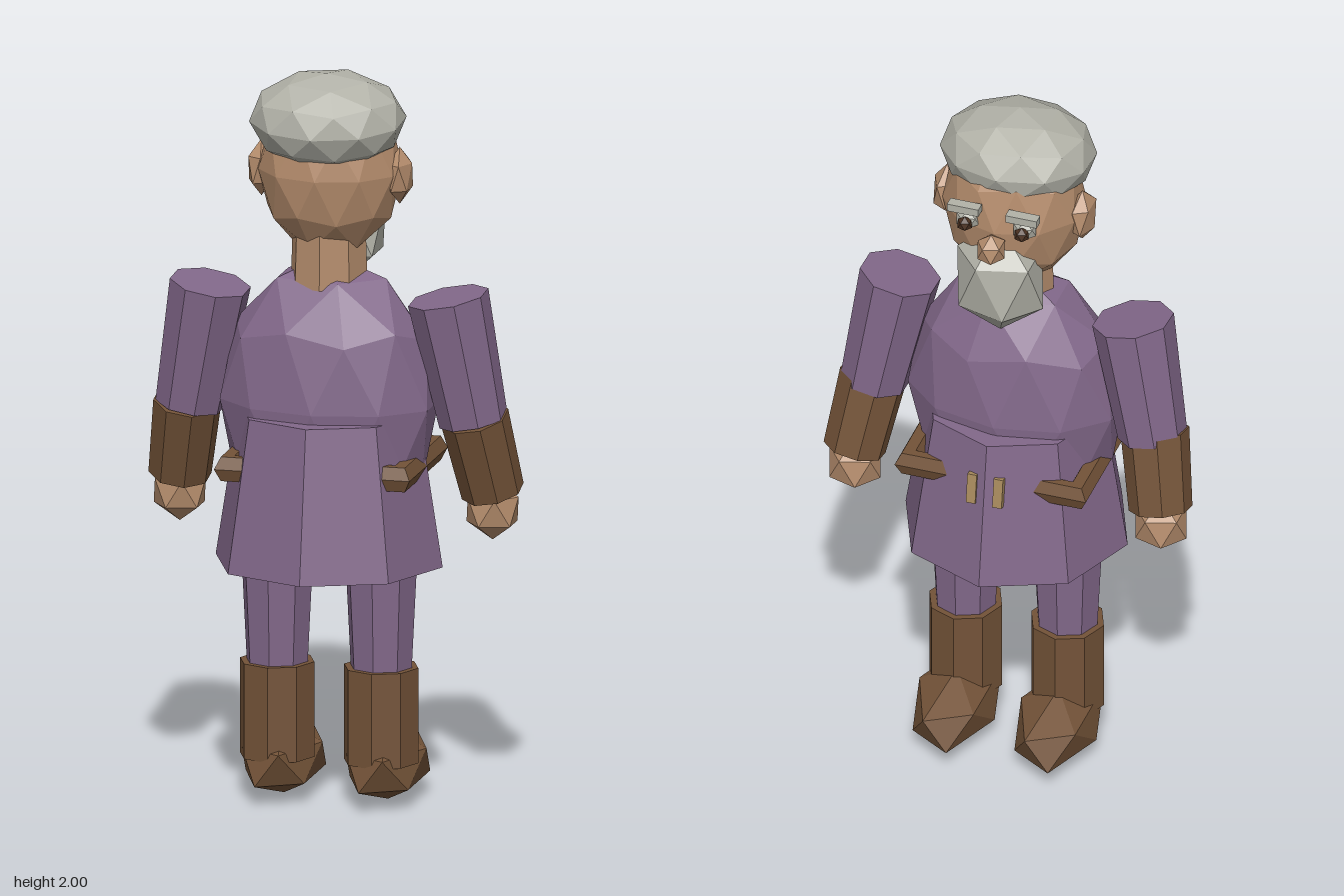
import * as THREE from 'three';

const mat = (name, color) => {
  const m = new THREE.MeshStandardMaterial({ color, flatShading: true });
  m.name = name;
  return m;
};

export function createModel() {
  const purple = mat('purple cloth', 0x82688a);
  const brown = mat('brown leather', 0x735338);
  const skin = mat('skin', 0xb48c6c);
  const grey = mat('grey hair', 0xb2b2a8);
  const dark = mat('dark brown eyes', 0x4a3020);
  const tan = mat('tan buckle', 0xa88a5c);

  const group = new THREE.Group();
  group.name = 'beardedMan';

  const add = (name, geometry, material, [x, y, z] = [0, 0, 0]) => {
    const mesh = new THREE.Mesh(geometry, material);
    mesh.name = name;
    mesh.position.set(x, y, z);
    group.add(mesh);
    return mesh;
  };

  // Faceted ball with a corner pointing straight up
  const ball = (name, material, pos, [rx, ry, rz], detail = 0) => {
    const g = new THREE.IcosahedronGeometry(1, detail);
    g.rotateZ(-Math.atan(2 / (1 + Math.sqrt(5))));
    g.scale(rx, ry, rz);
    return add(name, g, material, pos);
  };

  // Eight-sided tapered limb running from a (top) to b (bottom)
  const limb = (name, material, a, b, rTop, rBottom, turn = 0) => {
    const top = new THREE.Vector3(...a);
    const bottom = new THREE.Vector3(...b);
    const axis = top.clone().sub(bottom);
    const g = new THREE.CylinderGeometry(rTop, rBottom, axis.length(), 8, 1, false, turn);
    const mesh = add(name, g, material, top.add(bottom).multiplyScalar(0.5).toArray());
    mesh.quaternion.setFromUnitVectors(new THREE.Vector3(0, 1, 0), axis.normalize());
    return mesh;
  };

  // Body and tunic
  ball('torso', purple, [0, 1.1, 0], [0.3, 0.4, 0.195], 1);
  limb('tunicSkirt', purple, [0, 1.075, 0], [0, 0.66, 0], 0.247, 0.312);

  // Square belt whose corners stand out from the skirt
  const beltShape = new THREE.TorusGeometry(0.335, 0.045, 6, 4);
  beltShape.rotateZ(Math.PI / 4);
  beltShape.rotateX(Math.PI / 2);
  beltShape.scale(1, 0.85, 0.75);
  add('belt', beltShape, brown, [0, 0.935, -0.017]);

  // Head, facing -z
  limb('neck', skin, [0, 1.6, 0], [0, 1.42, 0], 0.1, 0.105);
  ball('head', skin, [0, 1.73, -0.015], [0.195, 0.24, 0.172], 1);
  ball('hair', grey, [0, 1.872, 0.015], [0.212, 0.128, 0.187], 1).rotation.x = 0.1;
  ball('beard', grey, [0, 1.555, -0.135], [0.135, 0.17, 0.112]);
  ball('nose', skin, [0, 1.695, -0.21], [0.042, 0.047, 0.047]);

  for (const s of [-1, 1]) {
    const side = s > 0 ? 'left' : 'right';

    // Face details
    ball(side + 'Ear', skin, [s * 0.19, 1.722, -0.015], [0.038, 0.078, 0.064]);
    ball(side + 'Eye', grey, [s * 0.08, 1.75, -0.168], [0.036, 0.03, 0.03]);
    ball(side + 'Pupil', dark, [s * 0.08, 1.75, -0.193], [0.022, 0.022, 0.022]);
    add(side + 'Eyebrow', new THREE.BoxGeometry(0.088, 0.022, 0.03), grey,
      [s * 0.082, 1.8, -0.19]);

    // Buckle bar, leaning with the skirt
    const bar = add(side + 'BuckleBar', new THREE.BoxGeometry(0.026, 0.085, 0.02), tan,
      [s * 0.037, 0.94, -0.256]);
    bar.rotation.x = 0.15;

    // Arm
    limb(side + 'Sleeve', purple, [s * 0.327, 1.4, 0], [s * 0.39, 1.06, -0.025],
      0.11, 0.093, Math.PI / 8);
    limb(side + 'Gauntlet', brown, [s * 0.395, 1.07, -0.02], [s * 0.43, 0.858, -0.075],
      0.092, 0.085, Math.PI / 8);
    ball(side + 'Hand', skin, [s * 0.43, 0.81, -0.073], [0.08, 0.083, 0.077]);

    // Leg
    limb(side + 'Trouser', purple, [s * 0.143, 0.7, 0], [s * 0.143, 0.36, 0], 0.1, 0.083);
    limb(side + 'Boot', brown, [s * 0.143, 0.38, 0], [s * 0.143, 0.12, 0], 0.102, 0.102);
    ball(side + 'Foot', brown, [s * 0.143, 0.1, -0.072], [0.118, 0.1, 0.22]);
  }

  return group;
}
